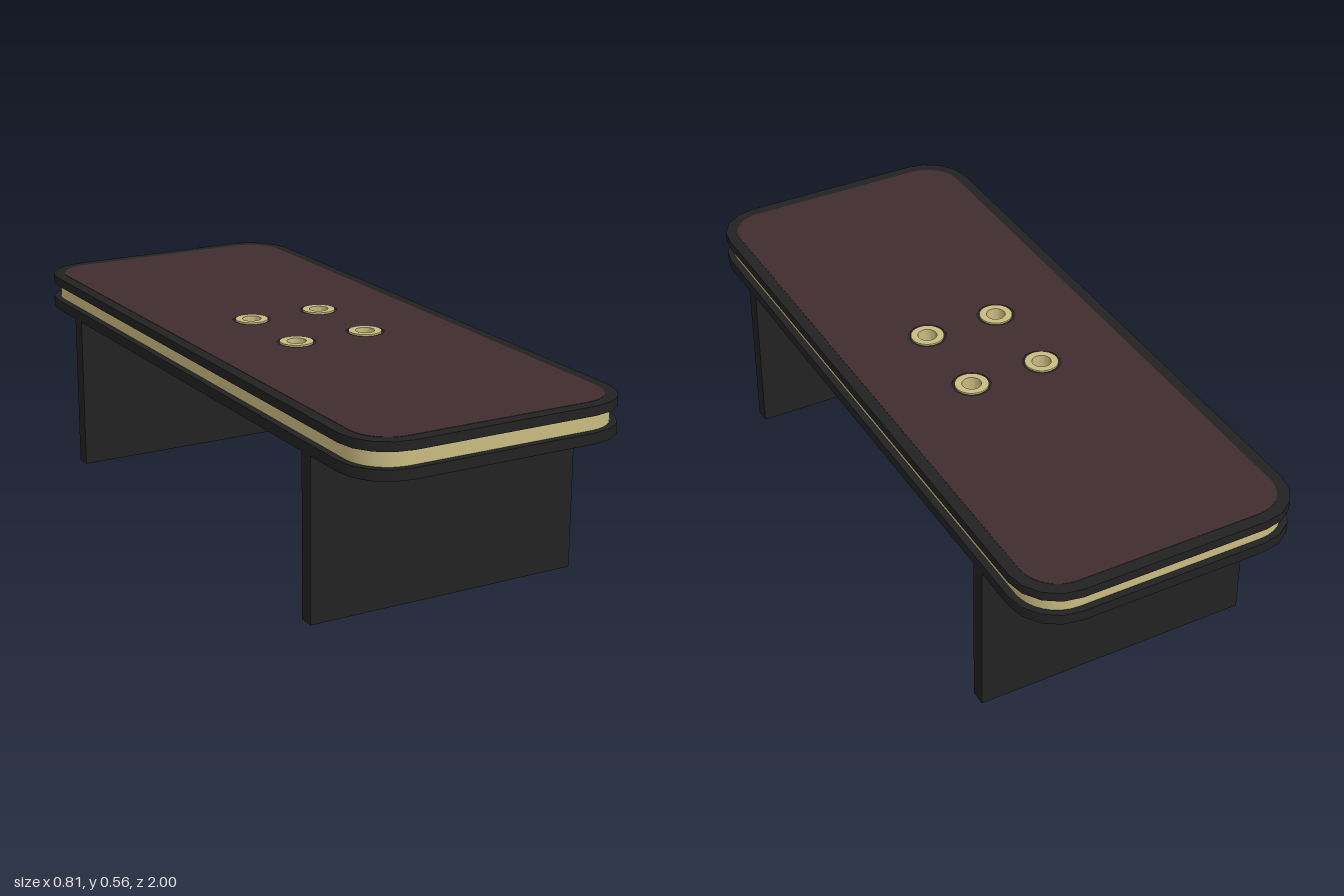
import * as THREE from 'three';
import { toCreasedNormals } from 'three/addons/utils/BufferGeometryUtils.js';

const material = (name, color) => {
  const m = new THREE.MeshStandardMaterial({ color });
  m.name = name;
  return m;
};

// Centres of the four cup rings
const CUPS = [-0.11, 0.11].flatMap((x) => [-0.132, 0.132].map((z) => [x, z]));

function circlePoints(cx, cy, r, n = 32) {
  return Array.from({ length: n }, (_, i) => {
    const a = (i / n) * Math.PI * 2;
    return new THREE.Vector2(cx + r * Math.cos(a), cy + r * Math.sin(a));
  });
}

// Rounded rectangle with chosen corner facets, pierced by the cup holes
function outline(hx, hz, r, segments, holeRadius) {
  const pts = [];
  [[1, 1], [-1, 1], [-1, -1], [1, -1]].forEach(([sx, sz], q) => {
    for (let i = 0; i <= segments; i++) {
      const a = (q + i / segments) * Math.PI / 2;
      pts.push(new THREE.Vector2(sx * (hx - r) + r * Math.cos(a), sz * (hz - r) + r * Math.sin(a)));
    }
  });
  const shape = new THREE.Shape(pts);
  for (const [x, z] of CUPS) shape.holes.push(new THREE.Path(circlePoints(x, z, holeRadius)));
  return shape;
}

function slab(shape, y0, y1) {
  const g = new THREE.ExtrudeGeometry(shape, { depth: y1 - y0, bevelEnabled: false });
  g.rotateX(-Math.PI / 2);
  g.translate(0, y0, 0);
  return toCreasedNormals(g, 0.6);
}

export function createModel() {
  const model = new THREE.Group();
  model.name = 'coffeeTable';
  const black = material('black', 0x222222);
  const gold = material('gold', 0xc9bb80);
  const maroon = material('maroon', 0x402c2e);

  const add = (name, geometry, mat, x = 0, y = 0, z = 0) => {
    const mesh = new THREE.Mesh(geometry, mat);
    mesh.name = name;
    mesh.position.set(x, y, z);
    model.add(mesh);
    return mesh;
  };

  // Layered top: two black boards with a recessed gold core between them
  const board = outline(0.403, 1, 0.135, 4, 0.04);
  add('lowerBoard', slab(board, 0.455, 0.485), black);
  add('goldCore', slab(outline(0.383, 0.98, 0.115, 8, 0.04), 0.485, 0.53), gold);
  add('upperBoard', slab(board, 0.53, 0.556), black);
  add('topInlay', slab(outline(0.37, 0.966, 0.105, 8, 0.055), 0.556, 0.557), maroon);

  // Gold sleeves with a flange above and below, open right through
  const sleeve = [
    [0.027, 0.453], [0.047, 0.453], [0.047, 0.456], [0.039, 0.456],
    [0.039, 0.555], [0.047, 0.555], [0.047, 0.561], [0.027, 0.561], [0.027, 0.453],
  ].map(([r, y]) => new THREE.Vector2(r, y));
  const ring = toCreasedNormals(new THREE.LatheGeometry(sleeve, 32), 0.6);
  for (const [x, z] of CUPS) add('cupRing', ring, gold, x, 0, z);

  // Panel legs and the central stretcher between them
  const leg = new THREE.BoxGeometry(0.806, 0.455, 0.045);
  add('frontLeg', leg, black, 0, 0.2275, 0.708);
  add('backLeg', leg, black, 0, 0.2275, -0.708);
  add('stretcher', new THREE.BoxGeometry(0.046, 0.235, 1.371), black, 0, 0.3375, 0);

  return model;
}
